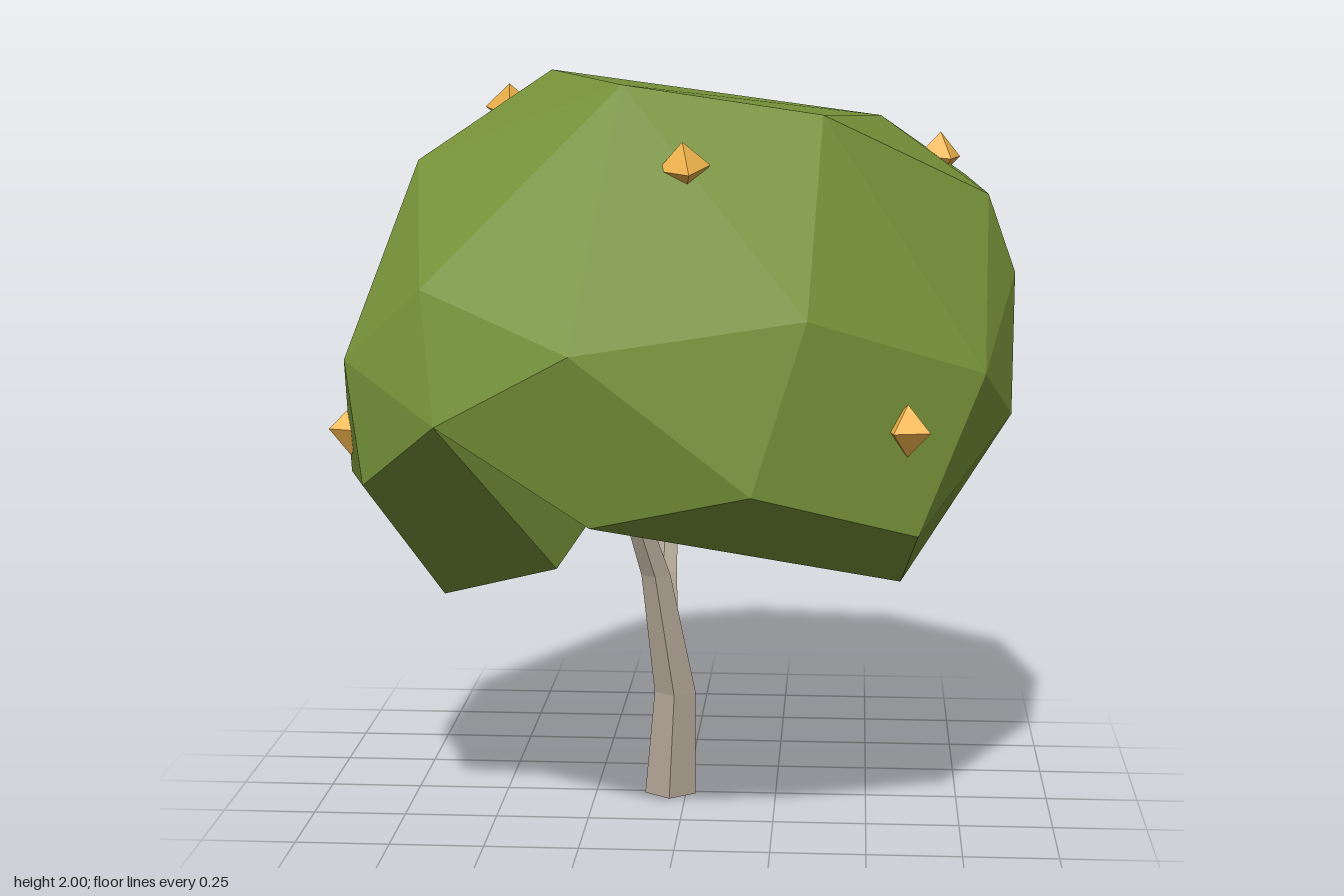
import * as THREE from 'three';
import { ConvexGeometry } from 'three/addons/geometries/ConvexGeometry.js';

const mat = (color) => new THREE.MeshStandardMaterial({ color, flatShading: true });
const V = (p) => new THREE.Vector3(p[0], p[1], p[2]);

// Faceted limb: horizontal rings [x, y, z, radius] joined in order and capped
function limb(rings, sides) {
  const pos = [], idx = [];
  for (const [x, y, z, r] of rings) {
    for (let i = 0; i < sides; i++) {
      const a = (i / sides) * Math.PI * 2;
      pos.push(x + Math.sin(a) * r, y, z + Math.cos(a) * r);
    }
  }
  for (let k = 0; k < rings.length - 1; k++) {
    for (let i = 0; i < sides; i++) {
      const a = k * sides + i, b = k * sides + ((i + 1) % sides);
      idx.push(a, b, b + sides, a, b + sides, a + sides);
    }
  }
  const top = (rings.length - 1) * sides;
  for (let i = 1; i < sides - 1; i++) {
    idx.push(0, i + 1, i, top, top + i, top + i + 1);
  }
  const g = new THREE.BufferGeometry();
  g.setAttribute('position', new THREE.Float32BufferAttribute(pos, 3));
  g.setIndex(idx);
  g.computeVertexNormals();
  return g;
}

export function createModel() {
  const tree = new THREE.Group();
  tree.name = 'tree';
  const bark = mat(0xb3a696), leaf = mat(0x769239), gold = mat(0xf2b44a);
  const add = (name, geometry, material) => {
    const m = new THREE.Mesh(geometry, material);
    m.name = name;
    tree.add(m);
    return m;
  };

  // Bent trunk and its rear fork
  add('trunk', limb([
    [-0.043, 0, -0.005, 0.074], [-0.03, 0.29, -0.005, 0.06],
    [-0.08, 0.63, 0.035, 0.042], [-0.145, 0.86, 0.09, 0.033], [-0.16, 0.95, 0.1, 0.03],
  ], 5), bark);
  add('branch', limb([
    [-0.06, 0.51, 0.01, 0.04], [-0.065, 0.62, -0.05, 0.038],
    [-0.065, 0.8, -0.19, 0.033], [-0.08, 1.08, -0.185, 0.024],
  ], 5), bark);

  // Crown: three overlapping faceted lobes sharing their upper corners
  const crest = [-0.36, 2, 0], shoulder = [-0.67, 1.78, 0.32], brow = [-0.56, 1.17, 0.83];
  const side = [-0.82, 1.3, 0.6], rear = [-0.41, 1.46, -0.79], nape = [-0.56, 1.75, -0.38];
  const edge = [0.52, 1.87, -0.23], tip = [0.885, 1.46, -0.05], rim = [0.81, 1.67, -0.05];
  const hollow = [-0.25, 1.03, -0.34], fold = [-0.53, 1.22, -0.66];
  const lobes = {
    frontLobe: [
      crest, shoulder, brow, side, edge, tip, rim,
      [-0.13, 1.98, 0.48], [0.37, 1.9, 0.35], [0.87, 1.11, 0.17], [0.79, 1.25, 0.4],
      [0.58, 0.71, 0.42], [0.62, 0.86, 0.57], [0.21, 1.01, 0.85], [-0.18, 0.93, 0.85],
      [-0.22, 1.36, 0.93], [0.34, 1.42, 0.71], [-0.61, 1.49, 0.7],
      [-0.2, 0.88, 0.15], [0, 0.87, 0.08], [0.3, 1.06, -0.09],
    ],
    backLobe: [
      crest, nape, rear, edge, rim, tip, hollow, fold,
      [0.76, 1.7, -0.33], [0.83, 1.21, -0.53], [0.42, 1.47, -0.85], [0.42, 1.13, -0.84],
      [0.08, 1.15, -0.9], [0.29, 0.95, -0.56], [-0.11, 1.83, -0.62],
      [-0.05, 1.05, -0.09], [0.3, 1.07, -0.07],
    ],
    sideLobe: [
      crest, shoulder, brow, side, nape, rear, hollow, fold,
      [-0.89, 1.29, -0.03], [-0.885, 0.94, 0.2], [-0.77, 0.99, 0.65], [-0.7, 1.02, -0.47],
      [-0.72, 0.76, -0.15], [-0.55, 0.67, -0.19], [-0.61, 0.65, 0.38], [-0.31, 0.73, 0.42],
      [-0.08, 1.04, -0.03],
    ],
  };
  for (const [name, points] of Object.entries(lobes)) {
    add(name, new ConvexGeometry(points.map(V)), leaf);
  }

  // Small eight-sided fruits half sunk in the leaves
  const fruits = [
    [0.59, 1.13, 0.57], [0.03, 1.78, 0.56], [-0.84, 1.09, 0.41],
    [0.68, 1.76, -0.21], [-0.48, 1.9, -0.06], [0.15, 1.36, -0.87],
  ];
  fruits.forEach((p, i) => {
    const fruit = add('fruit' + (i + 1), new THREE.OctahedronGeometry(0.067), gold);
    fruit.position.copy(V(p));
    fruit.rotation.set(0.25 * Math.sin(i * 2), Math.atan2(p[0], p[2]) + 0.2, 0.3 * Math.sin(i * 3));
  });
  return tree;
}
